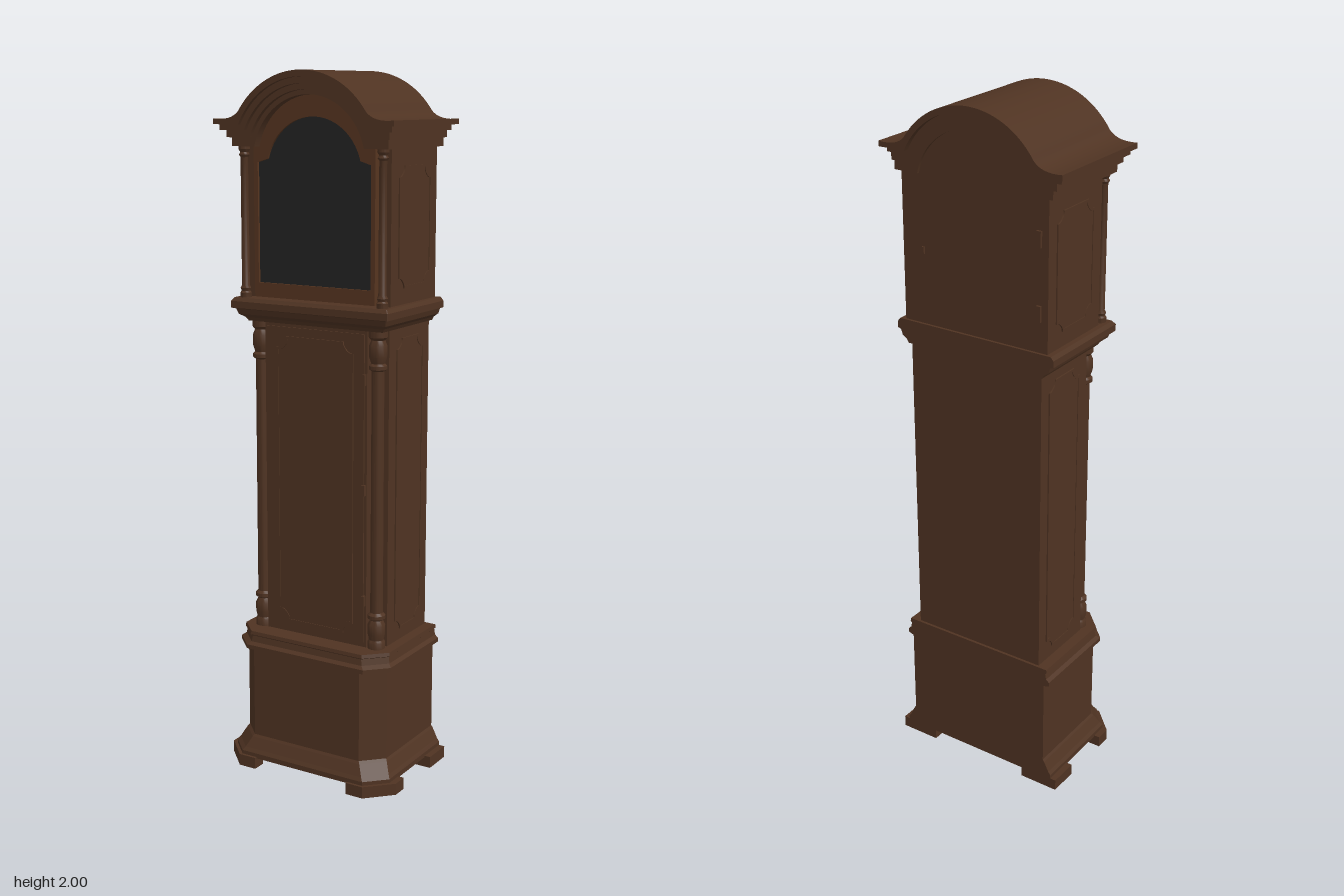
import * as THREE from 'three';
import { toCreasedNormals } from 'three/addons/utils/BufferGeometryUtils.js';

const BACK = -0.175;
const ARCH_Y = 1.76; // centre of the hood arch

export function createModel() {
  const model = new THREE.Group();
  model.name = 'longcaseClock';
  const wood = new THREE.MeshStandardMaterial({ name: 'darkWood', color: 0x4f3322 });
  const trim = new THREE.MeshStandardMaterial({ name: 'warmWood', color: 0x563520 });
  const glass = new THREE.MeshStandardMaterial({ name: 'darkGlass', color: 0x242424 });

  const add = (name, geometry, material = wood, parent = model) => {
    const mesh = new THREE.Mesh(geometry, material);
    mesh.name = name;
    parent.add(mesh);
    return mesh;
  };
  const box = (name, x0, x1, y0, y1, z0, z1, material) =>
    add(name, new THREE.BoxGeometry(x1 - x0, y1 - y0, z1 - z0), material)
      .position.set((x0 + x1) / 2, (y0 + y1) / 2, (z0 + z1) / 2);
  // Extrusion along z between two depths
  const slab = (shape, z0, z1) => toCreasedNormals(
    new THREE.ExtrudeGeometry(shape, { depth: z1 - z0, bevelEnabled: false, curveSegments: 24 }).translate(0, 0, z0), 0.5);
  const polygon = (pts) => new THREE.Shape(pts.map(([x, y]) => new THREE.Vector2(x, y)));

  // Stacked footprints with chamfered front corners; rows are [y, halfWidth]
  const loft = (rows, frontInset, chamfer) => {
    const loops = rows.map(([y, w]) => {
      const f = w - frontInset;
      return [[w, y, BACK], [-w, y, BACK], [-w, y, f - chamfer], [-w + chamfer, y, f],
        [w - chamfer, y, f], [w, y, f - chamfer]];
    });
    const pos = [];
    const tri = (a, b, c) => pos.push(...a, ...b, ...c);
    for (let i = 0; i + 1 < loops.length; i++) {
      for (let j = 0; j < 6; j++) {
        const k = (j + 1) % 6;
        const [a, b, c, d] = [loops[i][j], loops[i][k], loops[i + 1][k], loops[i + 1][j]];
        tri(a, b, c);
        tri(a, c, d);
      }
    }
    const low = loops[0], high = loops[loops.length - 1];
    for (let j = 1; j < 5; j++) {
      tri(low[0], low[j + 1], low[j]);
      tri(high[0], high[j], high[j + 1]);
    }
    const g = new THREE.BufferGeometry();
    g.setAttribute('position', new THREE.Float32BufferAttribute(pos, 3));
    g.computeVertexNormals();
    return g;
  };

  // Plinth, flared skirt and mouldings
  add('plinth', loft([[0.03, 0.262], [0.045, 0.262], [0.055, 0.255], [0.085, 0.24], [0.092, 0.235], [0.36, 0.235]], 0.08, 0.057));
  add('plinthMoulding', loft([[0.355, 0.237], [0.36, 0.253], [0.372, 0.253], [0.38, 0.243], [0.398, 0.24], [0.402, 0.245], [0.412, 0.243]], 0.088, 0.057));
  add('waistMoulding', loft([[1.315, 0.218], [1.325, 0.224], [1.335, 0.238], [1.35, 0.243], [1.353, 0.253], [1.372, 0.253], [1.382, 0.245]], 0.112, 0.002));

  // Bracket feet
  for (const s of [-1, 1]) {
    const front = polygon([[0.155, -0.19], [0.21, -0.19], [0.28, -0.12], [0.28, -0.075], [0.24, -0.075], [0.155, -0.15]].map(([x, y]) => [s * x, y]));
    const foot = new THREE.ExtrudeGeometry(front, { depth: 0.034, bevelEnabled: false });
    add('frontFoot', foot.rotateX(-Math.PI / 2));
    box('backFoot', Math.min(s * 0.16, s * 0.28), Math.max(s * 0.16, s * 0.28), 0, 0.034, BACK, -0.085);
  }

  // Trunk with recessed front corners
  box('trunk', -0.212, 0.212, 0.41, 1.32, -0.167, 0.058);
  box('trunkFront', -0.166, 0.166, 0.41, 1.32, 0.05, 0.097);
  box('trunkDoor', -0.158, 0.158, 0.425, 1.305, 0.09, 0.101);

  // Panel with scooped corners, centred on x
  const panelShape = (hw, y0, y1, r) => {
    const s = new THREE.Shape();
    const e = 0.007;
    s.moveTo(-hw + r + e, y0);
    s.lineTo(hw - r - e, y0).lineTo(hw - r - e, y0 + e);
    s.quadraticCurveTo(hw - r, y0 + r, hw - e, y0 + r + e).lineTo(hw, y0 + r + e);
    s.lineTo(hw, y1 - r - e).lineTo(hw - e, y1 - r - e);
    s.quadraticCurveTo(hw - r, y1 - r, hw - r - e, y1 - e).lineTo(hw - r - e, y1);
    s.lineTo(-hw + r + e, y1).lineTo(-hw + r + e, y1 - e);
    s.quadraticCurveTo(-hw + r, y1 - r, -hw + e, y1 - r - e).lineTo(-hw, y1 - r - e);
    s.lineTo(-hw, y0 + r + e).lineTo(-hw + e, y0 + r + e);
    s.quadraticCurveTo(-hw + r, y0 + r, -hw + r + e, y0 + e).closePath();
    return s;
  };
  // Raised rim around a slightly lower field
  const panel = (name, hw, y0, y1, r) => {
    const g = new THREE.Group();
    g.name = name;
    const rim = panelShape(hw, y0, y1, r);
    rim.holes.push(panelShape(hw - 0.007, y0 + 0.007, y1 - 0.007, r));
    add('panelRim', slab(rim, 0, 0.005), wood, g);
    add('panelField', slab(panelShape(hw - 0.006, y0 + 0.006, y1 - 0.006, r), 0, 0.003), wood, g);
    model.add(g);
    return g;
  };
  panel('doorPanel', 0.125, 0.445, 1.28, 0.024).position.z = 0.1;
  for (const s of [-1, 1]) {
    const lower = panel('trunkSidePanel', 0.075, 0.445, 1.285, 0.022);
    lower.position.set(s * 0.211, 0, -0.056);
    lower.rotation.y = s * Math.PI / 2;
    const upper = panel('hoodSidePanel', 0.088, 1.425, 1.752, 0.022);
    upper.position.set(s * 0.229, 0, -0.042);
    upper.rotation.y = s * Math.PI / 2;
  }

  // Turned columns; rows are [radius, y]
  const column = (name, x, z, rows) => {
    const pts = rows.map(([r, y]) => new THREE.Vector2(r, y));
    add(name, toCreasedNormals(new THREE.LatheGeometry(pts, 20), 0.6)).position.set(x, 0, z);
  };
  for (const s of [-1, 1]) {
    column('trunkColumn', s * 0.19, 0.08, [
      [0.025, 0.41], [0.025, 0.43], [0.021, 0.437], [0.025, 0.455], [0.025, 0.48], [0.018, 0.495],
      [0.025, 0.5], [0.025, 0.51], [0.018, 0.517], [0.0175, 1.205], [0.025, 1.21], [0.025, 1.22],
      [0.019, 1.226], [0.025, 1.245], [0.025, 1.275], [0.019, 1.29], [0.026, 1.298], [0.026, 1.32]]);
    column('hoodColumn', s * 0.22, 0.112, [
      [0.016, 1.38], [0.016, 1.395], [0.012, 1.4], [0.015, 1.408], [0.011, 1.416],
      [0.0105, 1.768], [0.015, 1.775], [0.011, 1.782], [0.016, 1.79], [0.016, 1.805]]);
  }

  // Arched outline with swept eaves; an inner radius opens it below
  const archShape = (offset, halfWidth, bottom, inner) => {
    const r = 0.24 - offset;
    const half = [];
    for (let i = 0; i <= 20; i++) {
      const a = THREE.MathUtils.lerp(Math.PI / 2, 0.586, i / 20);
      half.push([r * Math.cos(a), ARCH_Y + r * Math.sin(a)]);
    }
    const [ex, ey] = half[20];
    const y2 = 1.872 - offset;
    for (let i = 1; i <= 8; i++) {
      const t = i / 8, u = 1 - t;
      half.push([u * u * ex + 2 * u * t * (ex + 0.025) + t * t * halfWidth, u * u * ey + 2 * u * t * (y2 - 0.006) + t * t * y2]);
    }
    half.push([halfWidth, bottom]);
    if (inner) {
      const a0 = Math.asin((bottom - ARCH_Y) / inner);
      for (let i = 0; i <= 20; i++) {
        const a = THREE.MathUtils.lerp(a0, Math.PI / 2, i / 20);
        half.push([inner * Math.cos(a), ARCH_Y + inner * Math.sin(a)]);
      }
    }
    const last = inner ? half.slice(1, -1) : half.slice(1);
    const left = last.map(([x, y]) => [-x, y]).reverse();
    return polygon([...half, ...left]);
  };

  // Hood case, stepped cornice and roof
  add('hoodCase', slab(archShape(0.02, 0.23, 1.38), -0.167, 0.085));
  add('roof', slab(archShape(0, 0.283, 1.857, 0.223), -0.192, 0.168));
  [[0.012, 0.27, 1.842, 0.206, 0.157], [0.028, 0.256, 1.822, 0.19, 0.145], [0.042, 0.246, 1.798, 0.177, 0.132]]
    .forEach(([o, w, b, inner, z]) => add('cornice', slab(archShape(o, w, b, inner), BACK, z)));

  // Glazed hood door
  const paneShape = () => {
    const s = new THREE.Shape();
    s.moveTo(-0.18, 1.425);
    s.lineTo(0.18, 1.425).lineTo(0.18, 1.755).lineTo(0.147, 1.765);
    s.absarc(0, 1.727, 0.152, 0.252, Math.PI - 0.252, false);
    s.lineTo(-0.18, 1.755).closePath();
    return s;
  };
  const frame = new THREE.Shape();
  frame.moveTo(-0.193, 1.385);
  frame.lineTo(0.193, 1.385).lineTo(0.193, 1.8);
  frame.absarc(0, ARCH_Y, 0.186, 0.217, Math.PI - 0.217, false);
  frame.lineTo(-0.193, 1.8).closePath();
  frame.holes.push(paneShape());
  add('hoodDoorFrame', slab(frame, 0.084, 0.106), trim);
  add('hoodGlass', slab(paneShape(), 0.09, 0.099), glass);

  // Hinges and catch
  for (const y of [0.55, 0.87, 1.18]) box('trunkHinge', 0.155, 0.164, y - 0.015, y + 0.015, 0.095, 0.108);
  for (const y of [1.49, 1.69]) box('backHinge', -0.21, -0.196, y - 0.022, y + 0.022, -0.174, -0.166);
  box('backCatch', 0.16, 0.168, 1.58, 1.6, -0.172, -0.166);
  return model;
}
